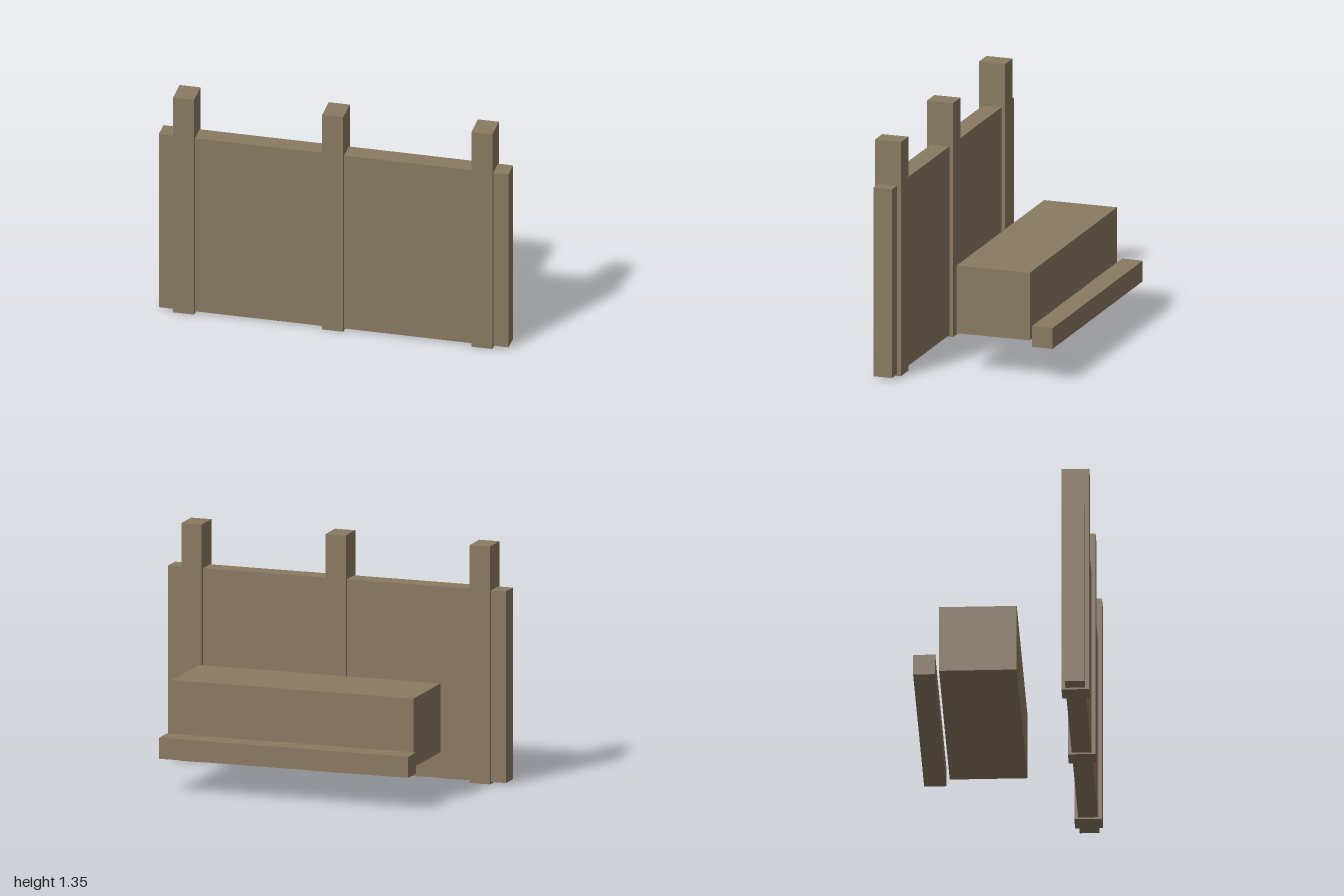
import * as THREE from 'three';

export function createModel() {
  const model = new THREE.Group();
  model.name = 'fencedBench';
  const wood = new THREE.MeshStandardMaterial({ color: 0x8a7a62 });
  wood.name = 'weathered wood';

  // Box given by its [min, max] extent on each axis
  const addBox = (name, [x0, x1], [y0, y1], [z0, z1]) => {
    const mesh = new THREE.Mesh(new THREE.BoxGeometry(x1 - x0, y1 - y0, z1 - z0), wood);
    mesh.position.set((x0 + x1) / 2, (y0 + y1) / 2, (z0 + z1) / 2);
    mesh.name = name;
    model.add(mesh);
  };

  // Upright wall panel
  addBox('wallPanel', [-1, 1], [0.01, 1.098], [0.361, 0.471]);

  // Posts running through the panel
  ['rightPost', 'middlePost', 'leftPost'].forEach((name, i) => {
    const x = (i - 1) * 0.853;
    addBox(name, [x - 0.06, x + 0.06], [0, 1.35], [0.339, 0.493]);
  });

  // Raised block behind the wall, and the low rail behind it
  addBox('block', [-0.715, 0.715], [0.22, 0.61], [-0.35, 0.082]);
  addBox('rearRail', [-0.737, 0.737], [0.19, 0.31], [-0.493, -0.37]);

  return model;
}
